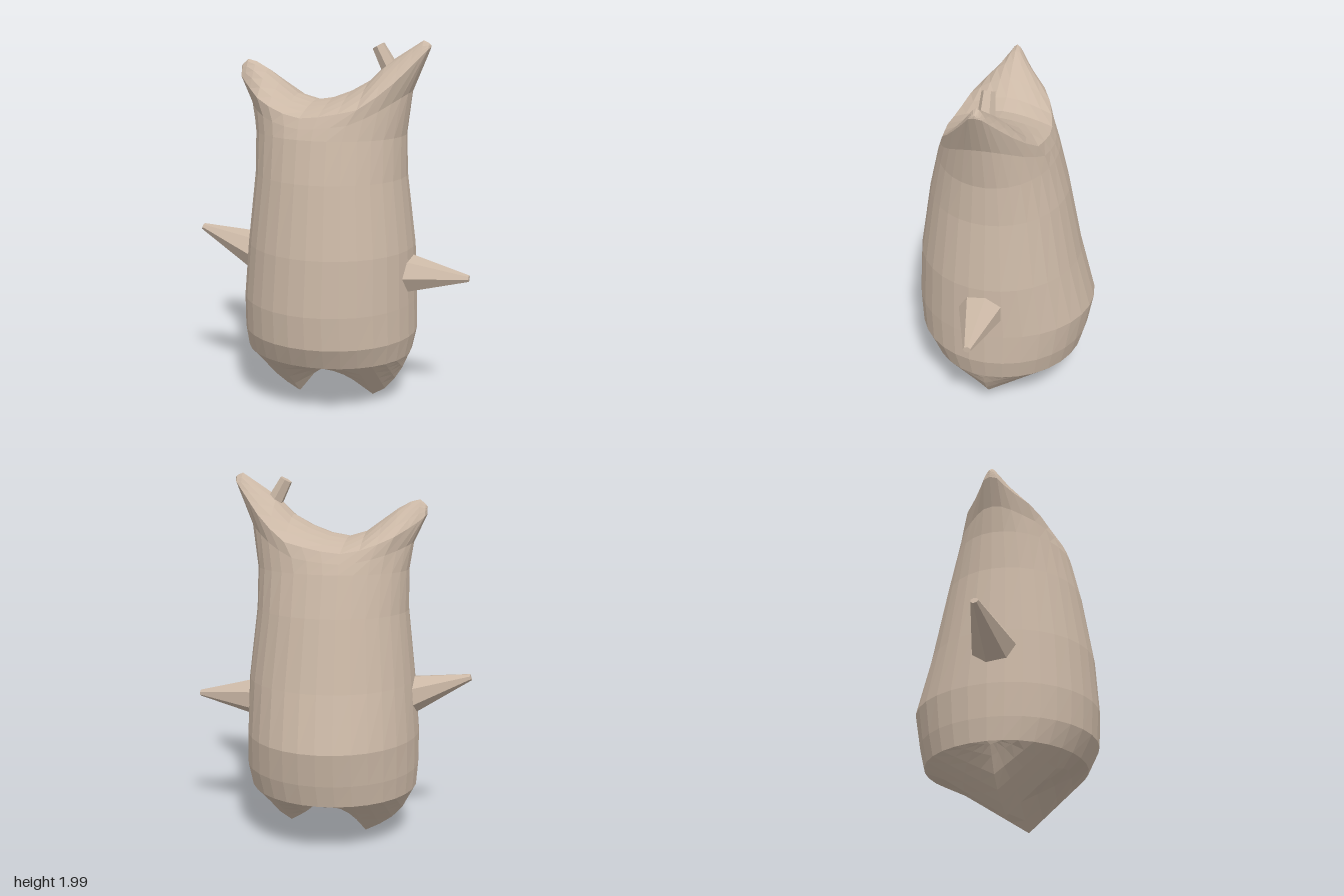
import * as THREE from 'three';

const SIDES = 32;
const MID_Z = 0.045;
const { lerp } = THREE.MathUtils;

// Piecewise linear curve through [x, y] points
function curve(points, x) {
  if (x <= points[0][0]) return points[0][1];
  for (let i = 1; i < points.length; i++) {
    const [x0, y0] = points[i - 1], [x1, y1] = points[i];
    if (x <= x1) return lerp(y0, y1, (x - x0) / (x1 - x0));
  }
  return points[points.length - 1][1];
}

// Surface through rows of points
function gridGeometry(rows, flip = false) {
  const cols = rows[0].length, index = [];
  for (let r = 0; r < rows.length - 1; r++) {
    for (let i = 0; i < cols - 1; i++) {
      const a = r * cols + i, b = a + cols, c = a + 1, d = b + 1;
      if (flip) index.push(a, c, b, b, c, d);
      else index.push(a, b, c, c, b, d);
    }
  }
  const geometry = new THREE.BufferGeometry();
  geometry.setAttribute('position', new THREE.Float32BufferAttribute(rows.flat(2), 3));
  geometry.setIndex(index);
  geometry.computeVertexNormals();
  return geometry;
}

// Body sections: y, right x, left x, front z, back z
const SECTIONS = [
  [0.30, -0.475, 0.44, 0.42, -0.43],
  [0.42, -0.485, 0.465, 0.48, -0.46],
  [0.60, -0.485, 0.46, 0.49, -0.49],
  [0.90, -0.46, 0.45, 0.47, -0.41],
  [1.28, -0.42, 0.405, 0.41, -0.33],
  [1.50, -0.42, 0.40, 0.36, -0.27],
];
// Curves along x: rim height, rim half depth, saddle between the horns, underside with feet
const RIM = [[-0.51, 1.79], [-0.45, 1.74], [-0.33, 1.67], [-0.13, 1.6], [0.05, 1.62],
  [0.22, 1.66], [0.35, 1.76], [0.46, 1.88], [0.53, 1.96]];
const RIM_DEPTH = [[-0.51, 0.03], [-0.45, 0.08], [-0.33, 0.2], [-0.13, 0.26], [0, 0.27],
  [0.2, 0.25], [0.35, 0.17], [0.46, 0.08], [0.53, 0.025]];
const SADDLE = [[-0.51, 1.83], [-0.48, 1.87], [-0.4, 1.85], [-0.3, 1.78], [-0.2, 1.7], [-0.1, 1.665],
  [0.05, 1.69], [0.2, 1.77], [0.3, 1.87], [0.5, 2.0], [0.53, 1.97]];
const UNDERSIDE = [[-0.475, 0.3], [-0.38, 0.12], [-0.28, 0.05], [-0.2, 0], [-0.15, 0.02],
  [-0.12, 0.1], [-0.08, 0.15], [0, 0.19], [0.1, 0.14], [0.17, 0.07], [0.21, 0.035],
  [0.25, 0.035], [0.3, 0.07], [0.39, 0.18], [0.44, 0.3]];

function ring(makePoint) {
  return Array.from({ length: SIDES + 1 }, (_, i) => {
    const a = (i / SIDES) * Math.PI * 2;
    return makePoint(Math.cos(a), Math.sin(a), i);
  });
}

// Closes a ring with strips from its front half to its back half, passing through a middle curve
function cap(edge, middle, power, flip) {
  const rows = [];
  const steps = 8;
  for (let k = 0; k <= SIDES / 2; k++) {
    const front = edge[k], back = edge[SIDES - k], x = front[0];
    const row = [];
    for (let j = 0; j <= steps; j++) {
      const u = 1 - (2 * j) / steps;
      const side = u > 0 ? front : back;
      const midZ = k === 0 || k === SIDES / 2 ? front[2] : MID_Z;
      const y = lerp(curve(middle, x), side[1], Math.abs(u) ** power);
      row.push([x, y, lerp(midZ, side[2], Math.abs(u))]);
    }
    rows.push(row);
  }
  return gridGeometry(rows, flip);
}

// Tapered faceted peg between two points
function peg(from, to, baseRadius, tipRadius, sides, depth = 1) {
  const start = new THREE.Vector3(...from), end = new THREE.Vector3(...to);
  const dir = end.clone().sub(start);
  const geometry = new THREE.CylinderGeometry(tipRadius, baseRadius, dir.length(), sides);
  geometry.scale(1, 1, depth);
  geometry.applyQuaternion(new THREE.Quaternion().setFromUnitVectors(
    new THREE.Vector3(0, 1, 0), dir.normalize()));
  const middle = start.add(end).multiplyScalar(0.5);
  geometry.translate(middle.x, middle.y, middle.z);
  return geometry;
}

export function createModel() {
  const group = new THREE.Group();
  const material = new THREE.MeshStandardMaterial({ color: 0xcbb8a6, flatShading: true });
  const add = (name, geometry) => {
    const mesh = new THREE.Mesh(geometry, material);
    mesh.name = name;
    group.add(mesh);
  };

  // Body wall, rising at both sides into the horns
  const rings = SECTIONS.map(([y, right, left, front, back]) => ring((c, s) => [
    (left + right) / 2 + (c * (left - right)) / 2,
    y,
    0.03 + s * (s > 0 ? front - 0.03 : 0.03 - back),
  ]));
  const rim = ring((c, s) => {
    const x = 0.01 + c * 0.52;
    const side = Math.abs(s) < 1e-6 ? 0 : Math.sign(s);
    return [x, curve(RIM, x), MID_Z + side * curve(RIM_DEPTH, x)];
  });
  const top = rings[rings.length - 1];
  const neck = ring((c, s, i) => [
    lerp(top[i][0], rim[i][0], 0.25),
    lerp(top[i][1], rim[i][1], 0.5),
    lerp(top[i][2], rim[i][2], 0.45),
  ]);
  add('body', gridGeometry([...rings, neck, rim]));

  // Saddle between the horns, and the underside with two pointed feet
  add('hornSaddle', cap(rim, SADDLE, 1.6, true));
  add('undersideAndFeet', cap(rings[0], UNDERSIDE, 1, false));

  // Short peg on the left horn
  add('hornPeg', peg([0.31, 1.85, 0.04], [0.25, 1.96, 0.04], 0.045, 0.035, 6));

  // Arms
  add('leftArm', peg([0.40, 0.755, 0.05], [0.76, 0.755, 0.05], 0.115, 0.018, 7, 1.15));
  add('rightArm', peg([-0.40, 0.80, 0.05], [-0.76, 0.92, 0.05], 0.115, 0.018, 7, 1.15));

  return group;
}
